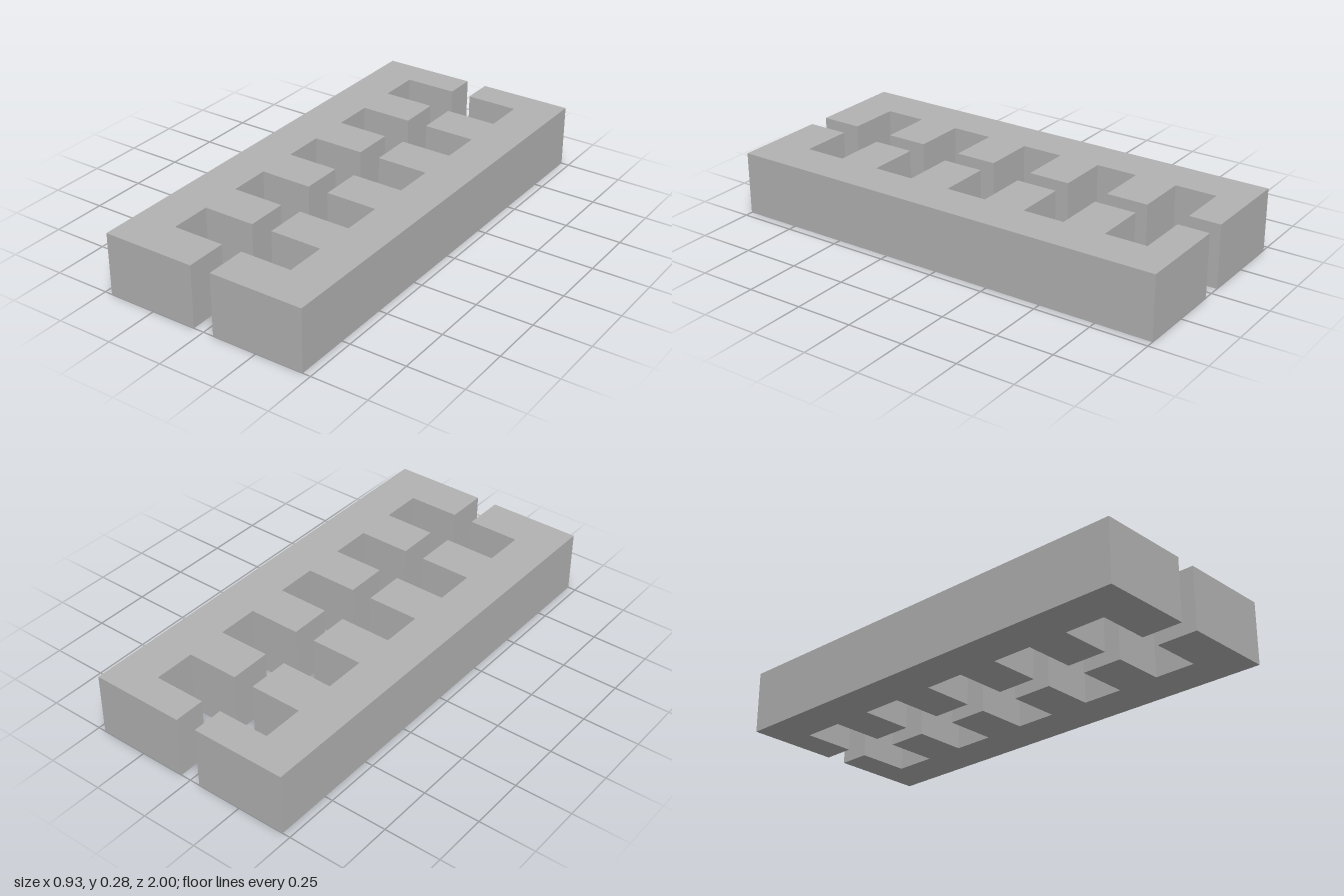
import * as THREE from 'three';

const U = 2 / 43; // base unit: the comb is 43 units long

// Comb outline: a straight spine with six teeth pointing towards the centre line
function combShape(side) {
  const tip = side * U, root = side * 6 * U, back = side * 10 * U;
  const points = [new THREE.Vector2(back, 1), new THREE.Vector2(tip, 1)];
  let y = 1 - 3 * U; // the rearmost tooth is narrower than the rest
  for (let i = 0; i < 5; i++) {
    points.push(
      new THREE.Vector2(tip, y),
      new THREE.Vector2(root, y),
      new THREE.Vector2(root, y - 4 * U),
      new THREE.Vector2(tip, y - 4 * U)
    );
    y -= 8 * U;
  }
  points.push(new THREE.Vector2(tip, -1), new THREE.Vector2(back, -1));
  return new THREE.Shape(points);
}

export function createModel() {
  const model = new THREE.Group();
  model.name = 'facingCombs';
  const grey = new THREE.MeshStandardMaterial({ color: 0xb2b2b2 });
  grey.name = 'grey';

  // Two mirrored combs, laid flat with their teeth facing each other
  for (const [name, side] of [['leftComb', 1], ['rightComb', -1]]) {
    const geometry = new THREE.ExtrudeGeometry(combShape(side), { depth: 6 * U, bevelEnabled: false });
    geometry.rotateX(-Math.PI / 2);
    const comb = new THREE.Mesh(geometry, grey);
    comb.name = name;
    model.add(comb);
  }
  return model;
}
